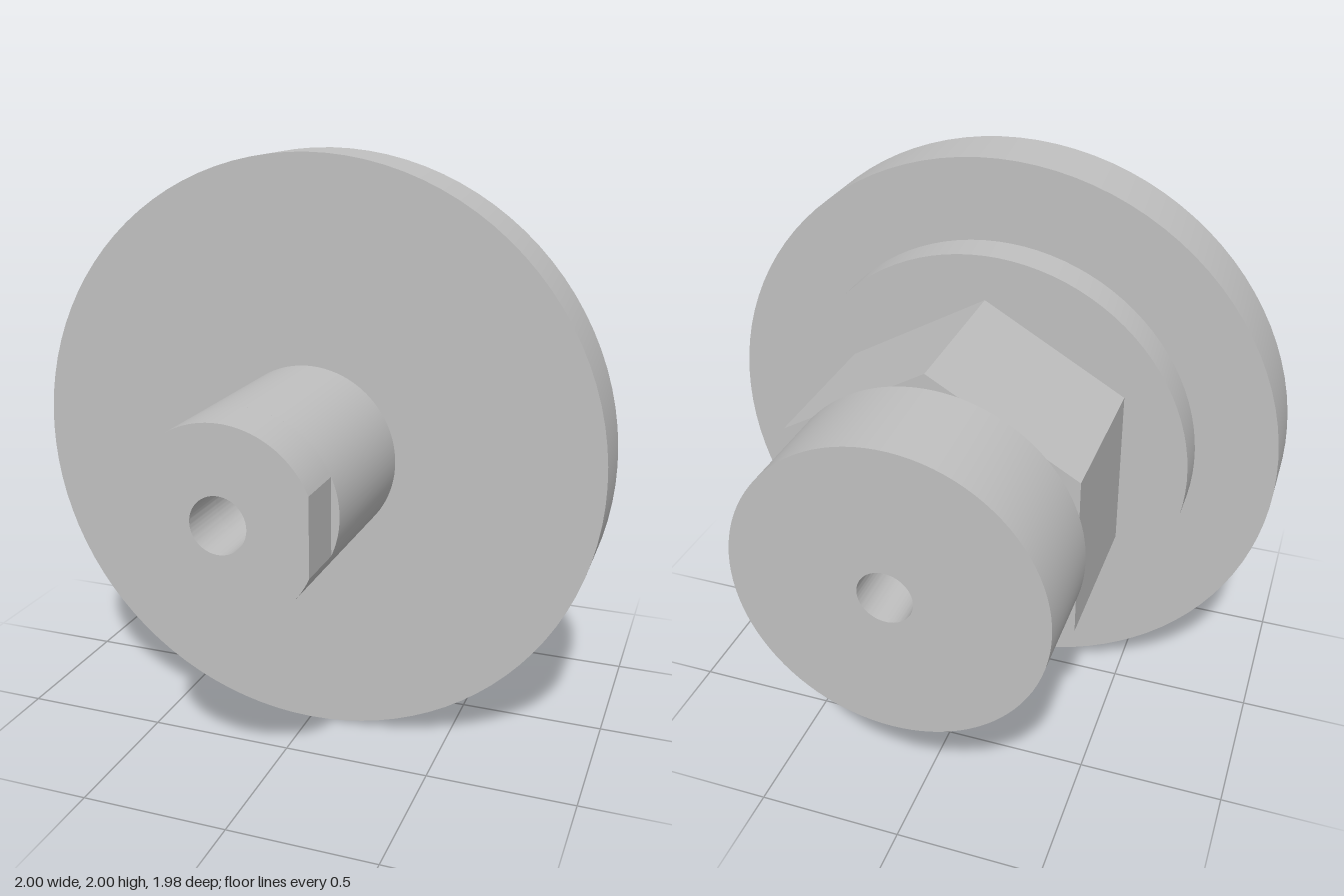
import * as THREE from 'three';
import { toCreasedNormals } from 'three/addons/utils/BufferGeometryUtils.js';

const AXIS_Y = 1;
const BORE = 0.09;

const steel = new THREE.MeshStandardMaterial({ color: 0xc0c0c0 });
steel.name = 'plain steel';

// Full disc, or a disc with a flat on +x when flatX is given
function disc(radius, flatX = radius) {
  const a = Math.acos(flatX / radius);
  const shape = new THREE.Shape();
  shape.absarc(0, 0, radius, a, Math.PI * 2 - a, false);
  shape.closePath();
  return shape;
}

// Hexagon with a corner at the top
function hexagon(radius) {
  const points = [];
  for (let i = 0; i < 6; i++) {
    const a = Math.PI / 2 + (i * Math.PI) / 3;
    points.push(new THREE.Vector2(radius * Math.cos(a), radius * Math.sin(a)));
  }
  return new THREE.Shape(points);
}

// Cut a round centre hole
function bored(shape) {
  const hole = new THREE.Path();
  hole.absarc(0, 0, BORE, 0, Math.PI * 2, true);
  shape.holes.push(hole);
  return shape;
}

// Extrude a section along the axis from z0 to z1
function section(name, shape, z0, z1) {
  const extruded = new THREE.ExtrudeGeometry(shape, {
    depth: z1 - z0, bevelEnabled: false, curveSegments: 48,
  });
  const mesh = new THREE.Mesh(toCreasedNormals(extruded, 0.4), steel);
  mesh.name = name;
  mesh.position.set(0, AXIS_Y, z0);
  return mesh;
}

export function createModel() {
  const model = new THREE.Group();
  model.name = 'flangedShaft';
  model.add(
    // Front shaft with a flat at its tip and a blind centre hole
    section('shaftTip', bored(disc(0.306, 0.28)), 0.81, 0.99),
    section('shaft', bored(disc(0.306)), 0.27, 0.81),
    // Flange and stepped collar
    section('flange', disc(1), 0.04, 0.27),
    section('collar', disc(0.718), -0.09, 0.04),
    // Wrench hexagon and rear boss with its own blind hole
    section('hexagon', hexagon(0.562), -0.63, -0.09),
    section('rearBoss', bored(disc(0.512)), -0.99, -0.63),
  );
  return model;
}
